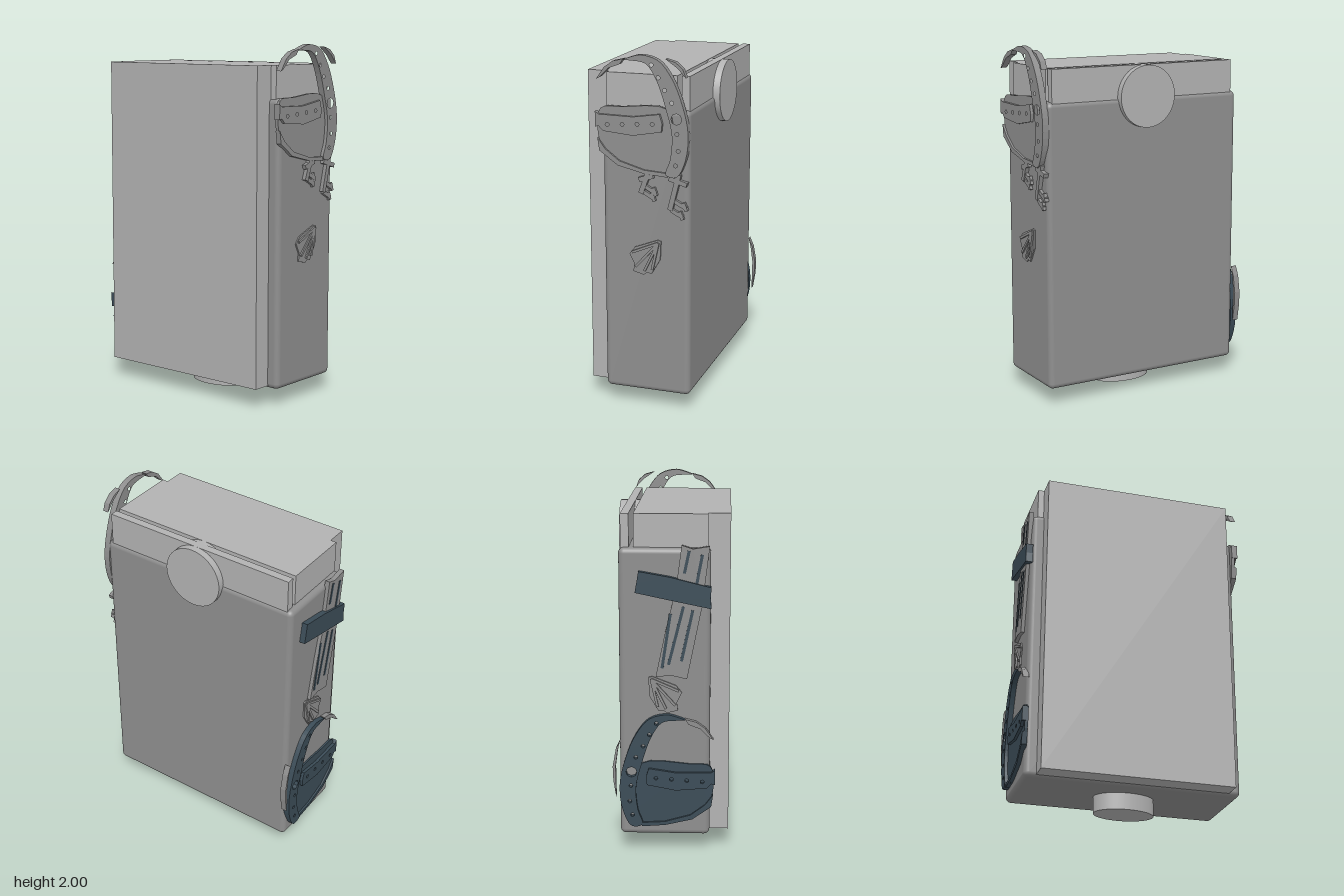
import * as THREE from 'three';
import { RoundedBoxGeometry } from 'three/addons/geometries/RoundedBoxGeometry.js';

const material = (name, color) => {
  const m = new THREE.MeshStandardMaterial({ color });
  m.name = name;
  return m;
};

export function createModel() {
  const model = new THREE.Group();
  model.name = 'decoratedCase';
  const light = material('lightGrey', 0xb2b2b2);
  const grey = material('midGrey', 0x8e8e8e);
  const dark = material('darkSlate', 0x3b4c57);

  const add = (name, geometry, mat, x = 0, y = 0, z = 0, parent = model) => {
    const mesh = new THREE.Mesh(geometry, mat);
    mesh.name = name;
    mesh.position.set(x, y, z);
    parent.add(mesh);
    return mesh;
  };
  // Box given by its limits on each axis
  const block = (name, mat, [x0, x1], [y0, y1], [z0, z1]) =>
    add(name, new THREE.BoxGeometry(x1 - x0, y1 - y0, z1 - z0), mat,
      (x0 + x1) / 2, (y0 + y1) / 2, (z0 + z1) / 2);

  // Case, inner block and cover
  add('caseShell', new RoundedBoxGeometry(1.235, 1.615, 0.495, 4, 0.03), grey, 0, 0.9025, -0.0325);
  block('frontBlock', light, [-0.55, 0.55], [0.11, 1.89], [0.19, 0.32]);
  block('upperBlock', light, [-0.585, 0.585], [1.6, 1.89], [-0.2, 0.2]);
  block('backPlate', light, [-0.585, 0.585], [1.6, 1.89], [-0.27, -0.225]);
  const disc = add('backDisc', new THREE.CylinderGeometry(0.175, 0.175, 0.11, 48), light, 0, 1.715, -0.255);
  disc.rotation.x = Math.PI / 2;
  const foot = add('ovalFoot', new THREE.CylinderGeometry(0.173, 0.173, 0.12, 48), light, 0, 0.06, -0.007);
  foot.scale.z = 0.62;

  // Flat relief on a side wall; u runs towards the back, v runs up.
  const relief = (name, mat, side, points, top, { dv = 0, smooth = false, holes = [], base = 0.61 } = {}) => {
    let outline = points.map(([u, v]) => new THREE.Vector2(u * side, v + dv));
    if (smooth) {
      const curve = new THREE.CatmullRomCurve3(outline.map(p => new THREE.Vector3(p.x, p.y, 0)), true);
      outline = curve.getPoints(outline.length * 4).slice(0, -1).map(p => new THREE.Vector2(p.x, p.y));
    }
    const shape = new THREE.Shape(outline);
    for (const [u, v, r] of holes) {
      shape.holes.push(new THREE.Path().absarc(u * side, v + dv, r, 0, Math.PI * 2, true));
    }
    const geometry = new THREE.ExtrudeGeometry(shape, { depth: top - base, bevelEnabled: false, curveSegments: 4 });
    geometry.rotateY(side * Math.PI / 2);
    return add(name, geometry, mat, side * base);
  };
  // Straight bar from a to b
  const bar = (name, mat, side, a, b, width, top, options) => {
    const du = b[0] - a[0], dv = b[1] - a[1], k = width / 2 / Math.hypot(du, dv);
    return relief(name, mat, side, [
      [a[0] - dv * k, a[1] + du * k], [b[0] - dv * k, b[1] + du * k],
      [b[0] + dv * k, b[1] - du * k], [a[0] + dv * k, a[1] - du * k],
    ], top, options);
  };

  // Pouch with a curved studded strap and a cross strap
  const ornament = (side, mat, dv) => {
    relief('pouch', mat, side, [
      [-0.22, 1.70], [-0.1, 1.715], [0.16, 1.715], [0.19, 1.6], [0.19, 1.45], [0.15, 1.36],
      [0, 1.37], [-0.12, 1.42], [-0.21, 1.5], [-0.235, 1.56],
    ], 0.628, { dv, smooth: true });
    relief('pouchRim', mat, side, [
      [-0.235, 1.54], [-0.225, 1.47], [-0.12, 1.395], [0.03, 1.36], [0.16, 1.35],
      [0.16, 1.372], [0.03, 1.38], [-0.11, 1.42], [-0.19, 1.48],
    ], 0.64, { dv });
    relief('curvedStrap', mat, side, [
      [-0.08, 1.97], [-0.03, 1.99], [0.02, 2], [0.115, 1.975], [0.19, 1.885], [0.25, 1.74],
      [0.28, 1.595], [0.265, 1.45], [0.215, 1.355], [0.155, 1.365], [0.18, 1.45],
      [0.19, 1.58], [0.16, 1.71], [0.105, 1.87], [0.045, 1.955], [-0.035, 1.968],
    ], 0.647, {
      dv, smooth: true, holes: [
        [0.077, 1.95, 0.011], [0.115, 1.885, 0.011], [0.15, 1.82, 0.011], [0.19, 1.755, 0.011],
        [0.215, 1.67, 0.03], [0.218, 1.59, 0.011], [0.225, 1.5, 0.011], [0.21, 1.42, 0.011],
      ],
    });
    relief('crossStrap', mat, side, [
      [-0.245, 1.685], [-0.225, 1.67], [-0.03, 1.667], [0.12, 1.69], [0.135, 1.64],
      [0.13, 1.595], [-0.03, 1.565], [-0.2, 1.58], [-0.225, 1.605], [-0.245, 1.6],
    ], 0.645, {
      dv, holes: [-0.175, -0.09, -0.005, 0.08].map((u, i) => [u, 1.617 + i * 0.006, 0.011]),
    });
    relief('frontCrescent', grey, side, [
      [-0.235, 1.86], [-0.19, 1.925], [-0.14, 1.96], [-0.08, 1.975],
      [-0.1, 1.945], [-0.165, 1.92], [-0.215, 1.87],
    ], 0.645, { dv });
  };
  ornament(1, grey, 0);
  ornament(-1, dark, -1.2);
  relief('upperBackCrescent', grey, 1, [
    [0.155, 1.985], [0.21, 1.97], [0.25, 1.935], [0.267, 1.89], [0.22, 1.94],
  ], 0.645);
  relief('lowerBackCrescent', grey, -1, [
    [0.275, 0.655], [0.3, 0.6], [0.318, 0.5], [0.315, 0.42], [0.3, 0.325],
    [0.3, 0.42], [0.302, 0.5], [0.29, 0.59],
  ], 0.645);

  // Two hanging keys
  const key = (a, b, teeth) => {
    bar('keyStem', grey, 1, a, b, 0.028, 0.64);
    for (const [u, v] of teeth) {
      bar('keyBit', grey, 1, [u, v], [u + 0.065, v - 0.035], 0.022, 0.635);
      bar('keyTooth', grey, 1, [u + 0.05, v - 0.005], [u + 0.065, v - 0.05], 0.018, 0.635);
    }
  };
  key([0.05, 1.36], [0.01, 1.25], [[0.03, 1.29], [0.02, 1.26]]);
  key([0.225, 1.37], [0.175, 1.17], [[0.2, 1.22], [0.18, 1.17]]);
  bar('keyCrossbar', grey, 1, [0, 1.325], [0.08, 1.35], 0.025, 0.64);
  bar('keyCrossbar', grey, 1, [0.17, 1.345], [0.27, 1.315], 0.025, 0.64);

  // Scallop shells with raised ribs
  const shell = (side, dv) => {
    relief('shell', grey, side, [
      [0.1, 0.99], [0.12, 0.985], [0.115, 0.88], [0.065, 0.795], [0.04, 0.8], [0.02, 0.785],
      [-0.04, 0.8], [-0.035, 0.845], [-0.062, 0.9], [-0.03, 0.94],
    ], 0.626, { dv });
    for (const end of [[-0.045, 0.91], [-0.025, 0.83], [0.025, 0.81], [0.07, 0.82]]) {
      bar('shellRib', grey, side, [0.105, 0.975], end, 0.014, 0.635, { dv });
    }
  };
  shell(1, 0);
  shell(-1, 0.02);

  // Cross of rough planks
  relief('uprightPlank', grey, -1, [
    [-0.06, 1.73], [-0.12, 1.71], [-0.21, 1.725], [-0.17, 1.4], [-0.09, 1.0],
    [0, 1.02], [0.08, 1.01], [0.03, 1.25], [-0.03, 1.5],
  ], 0.638);
  relief('crossPlank', dark, -1, [
    [0.17, 1.59], [0, 1.56], [-0.22, 1.505], [-0.215, 1.45], [-0.22, 1.39],
    [0, 1.435], [0.19, 1.475], [0.18, 1.53],
  ], 0.65);
  for (const [a, b] of [
    [[-0.1, 1.7], [-0.075, 1.58]], [[-0.17, 1.68], [-0.14, 1.52]],
    [[-0.07, 1.4], [0.01, 1.08]], [[-0.12, 1.38], [-0.06, 1.1]], [[0, 1.36], [0.045, 1.06]],
  ]) bar('woodGrain', dark, -1, a, b, 0.016, 0.641, { base: 0.636 });

  return model;
}
